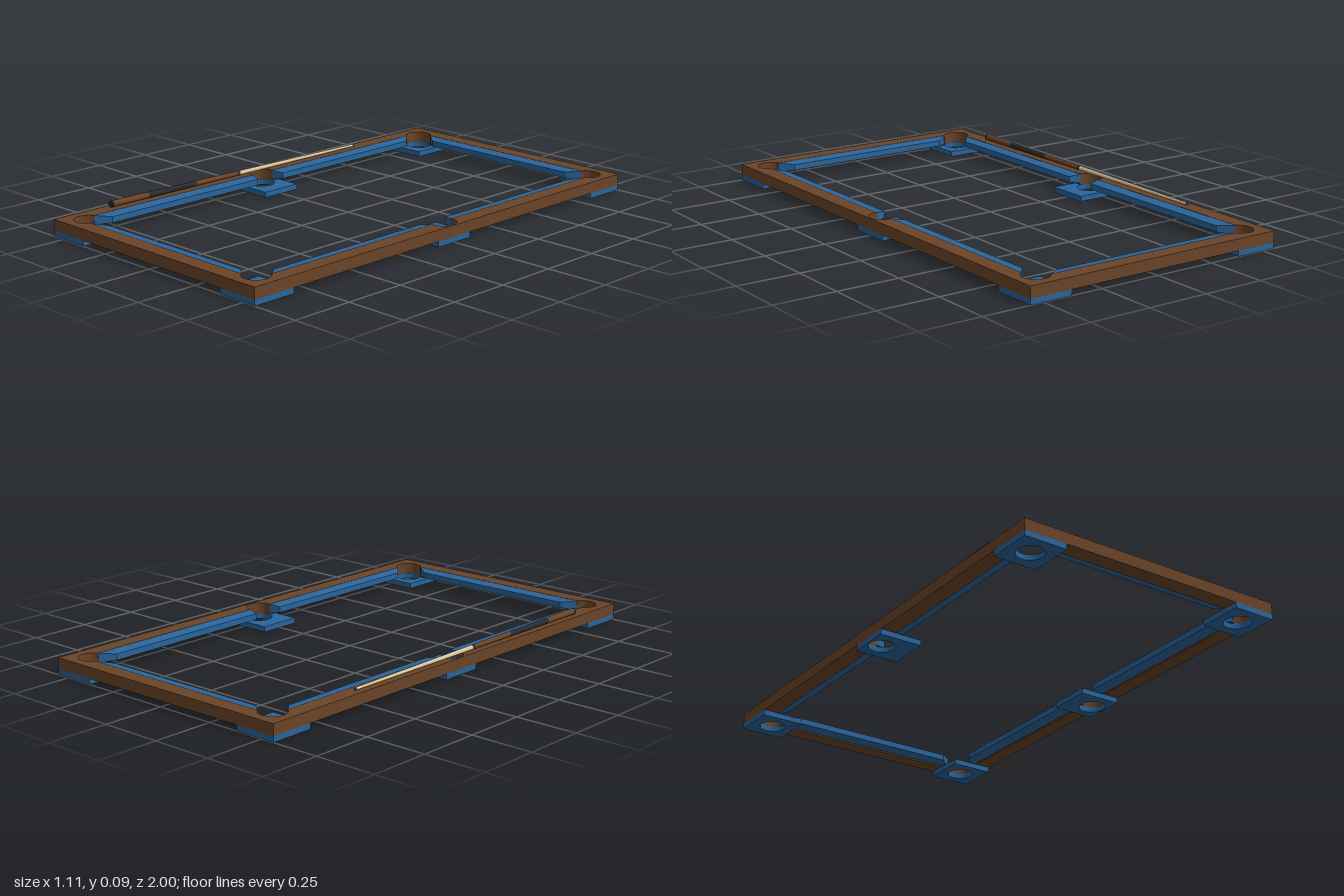
import * as THREE from 'three';

const mat = (name, color) => Object.assign(new THREE.MeshStandardMaterial({ color }), { name });

// Main dimensions
const W = 0.555, L = 1.0;            // outer half sizes
const IW = 0.49, IL = 0.935;         // inner half sizes of the wooden frame
const BASE = 0.022, TOP = 0.067;     // frame underside and top
const R = 0.053;                     // pocket radius
const CX = 0.466, CZ = 0.91, MX = 0.497; // corner and middle pocket centres

// Plan shape pulled upwards from y0 to y1
function slab(shape, y0, y1) {
  const g = new THREE.ExtrudeGeometry(shape, { depth: y1 - y0, bevelEnabled: false, curveSegments: 24 });
  g.rotateX(-Math.PI / 2);
  g.translate(0, y0, 0);
  return g;
}

function rectShape(x0, y0, x1, y1) {
  return new THREE.Shape([[x0, y0], [x1, y0], [x1, y1], [x0, y1]].map(p => new THREE.Vector2(...p)));
}

// Inner outline of the frame with round bites for the six pockets
function innerOutline() {
  const pts = [];
  const bite = (cx, cy, a0, a1) => {
    for (let i = 0; i <= 20; i++) {
      const a = a0 + (a1 - a0) * i / 20;
      pts.push(new THREE.Vector2(cx + R * Math.cos(a), cy + R * Math.sin(a)));
    }
  };
  const ax = Math.acos((IW - CX) / R), ay = Math.asin((IL - CZ) / R);
  const m = Math.acos((IW - MX) / R), P = Math.PI;
  bite(MX, 0, -m, m);
  bite(CX, CZ, -ax, P - ay);
  bite(-CX, CZ, ay, P + ax);
  bite(-MX, 0, P - m, P + m);
  bite(-CX, -CZ, P - ax, 2 * P - ay);
  bite(CX, -CZ, P + ay, 2 * P + ax);
  return new THREE.Path(pts);
}

// Cushion running along z from z0 to z1, its nose towards +x, ends cut at an angle
function cushionGeometry(edge, z0, z1, cut0, cut1) {
  const depth = 0.045;
  const profile = new THREE.Shape([[0, 0.028], [depth, 0.036], [depth, 0.06], [0, 0.066]]
    .map(p => new THREE.Vector2(...p)));
  const g = new THREE.ExtrudeGeometry(profile, { depth: 1, bevelEnabled: false });
  const p = g.attributes.position;
  for (let i = 0; i < p.count; i++) {
    const k = p.getX(i) / depth;
    p.setZ(i, p.getZ(i) < 0.5 ? z0 + cut0 * k : z1 - cut1 * k);
    p.setX(i, p.getX(i) - edge);
  }
  g.computeVertexNormals();
  return g;
}

export function createModel() {
  const wood = mat('brown wood', 0x6b4428);
  const cloth = mat('blue cloth', 0x2a659c);
  const dark = mat('dark wrap', 0x2b2b2b);
  const maple = mat('pale wood', 0xdcc79c);
  const ivory = mat('ivory', 0xf0ece0);

  const model = new THREE.Group();
  model.name = 'tableRails';
  const add = (parent, name, geometry, material) => {
    const mesh = new THREE.Mesh(geometry, material);
    mesh.name = name;
    parent.add(mesh);
    return mesh;
  };

  // Wooden frame
  const frame = rectShape(-W, -L, W, L);
  frame.holes.push(innerOutline());
  add(model, 'railFrame', slab(frame, BASE, TOP), wood);

  // Pocket plates under the frame, each with a round hole
  for (const sx of [-1, 1]) {
    for (const row of [-1, 0, 1]) {
      const [y0, y1] = row ? [0.82 * row, L * row].sort((a, b) => a - b) : [-0.088, 0.088];
      const [x0, x1] = [0.38 * sx, W * sx].sort((a, b) => a - b);
      const plate = rectShape(x0, y0, x1, y1);
      plate.holes.push(new THREE.Path().absarc(sx * (row ? CX : MX), row * CZ, R - 0.001, 0, Math.PI * 2, true));
      add(model, row ? 'cornerPocketPlate' : 'middlePocketPlate', slab(plate, 0, BASE), cloth);
    }
  }

  // Cushions: two on each long side, one on each end
  const near = cushionGeometry(IW, 0.053, 0.862, 0.016, 0.052);
  const far = cushionGeometry(IW, -0.862, -0.053, 0.052, 0.016);
  const end = cushionGeometry(IL, -0.418, 0.418, 0.054, 0.054);
  for (const turn of [0, Math.PI]) {
    add(model, 'sideCushion', near, cloth).rotation.y = turn;
    add(model, 'sideCushion', far, cloth).rotation.y = turn;
    add(model, 'endCushion', end, cloth).rotation.y = turn - Math.PI / 2;
  }

  // Cue lying on the right rail, tapering towards the back
  const cue = new THREE.Group();
  cue.name = 'cue';
  const length = 1.315, r0 = 0.013, r1 = 0.005;
  const sections = [
    ['buttCap', 0, 0.01, dark], ['butt', 0.01, 0.18, wood], ['gripWrap', 0.18, 0.425, dark],
    ['forearm', 0.425, 0.645, wood], ['collar', 0.645, 0.657, dark], ['shaft', 0.657, 1.29, maple],
    ['ferrule', 1.29, 1.307, ivory], ['tip', 1.307, length, cloth],
  ];
  const radius = s => r0 + (r1 - r0) * s / length;
  for (const [name, s0, s1, material] of sections) {
    const g = new THREE.CylinderGeometry(radius(s1), radius(s0), s1 - s0, 16);
    g.translate(0, (s0 + s1) / 2, 0);
    add(cue, name, g, material);
  }
  cue.position.set(-0.525, TOP + r0 + 0.001, 0.755);
  cue.rotation.x = -Math.PI / 2 - Math.atan((r0 - r1) / length);
  model.add(cue);

  return model;
}
